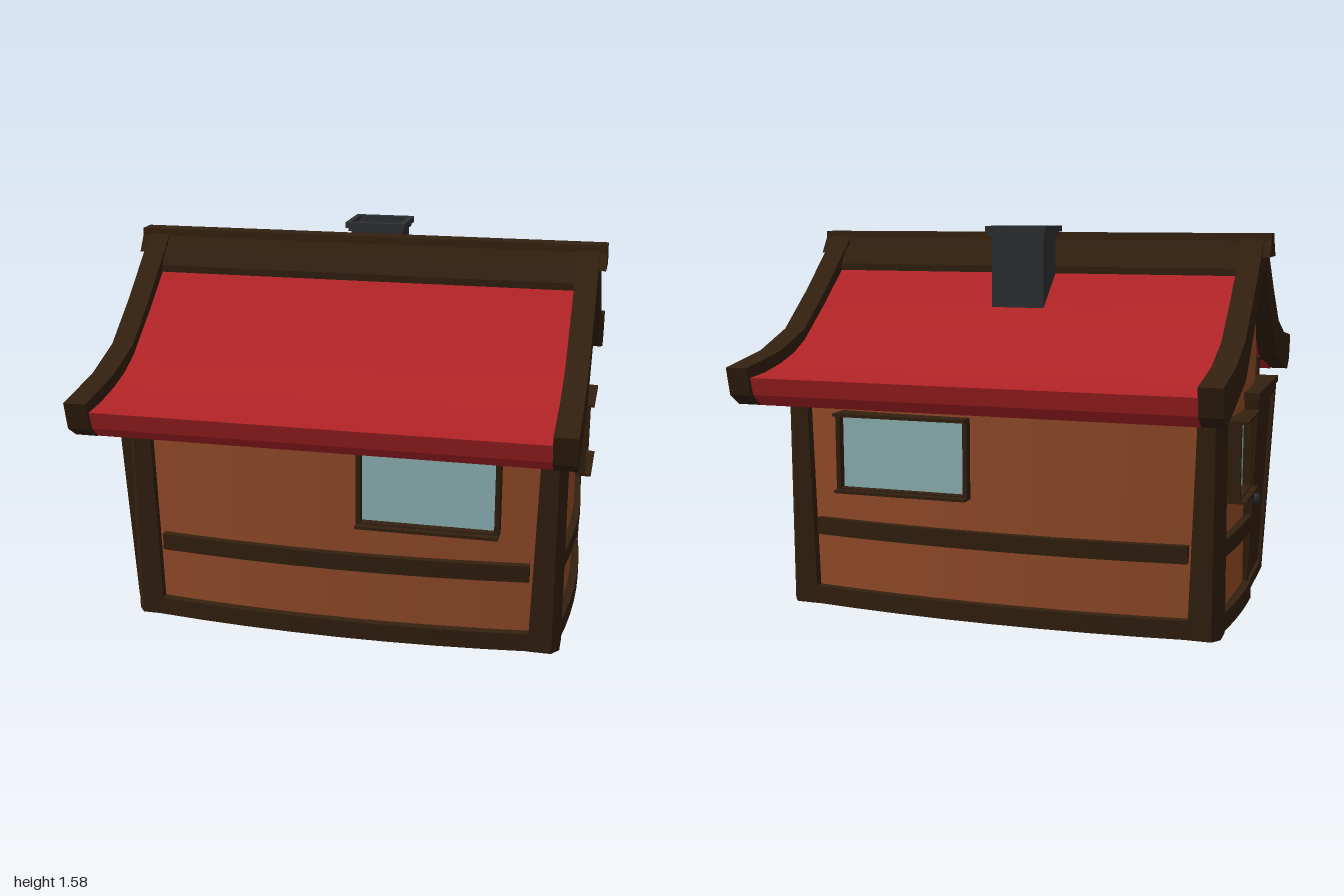
import * as THREE from 'three';
import { toCreasedNormals } from 'three/addons/utils/BufferGeometryUtils.js';

const mat = (color) => new THREE.MeshStandardMaterial({ color, side: THREE.DoubleSide });
const WOOD = mat(0x33200f), WALL = mat(0x984e2a), RED = mat(0xb32427);
const GLASS = mat(0x92babc), STONE = mat(0x303134);

const shapeOf = (pts) => new THREE.Shape(pts.map((p) => new THREE.Vector2(p[0], p[1])));
const rect = (x0, y0, x1, y1) => [[x0, y0], [x1, y0], [x1, y1], [x0, y1]];
const extrude = (shape, depth) => new THREE.ExtrudeGeometry(shape, { depth, bevelEnabled: false });

// Extrudes a (z, y) outline along x, from x0 to x1
const alongX = (pts, x0, x1) => extrude(shapeOf(pts), x1 - x0).rotateY(-Math.PI / 2).translate(x1, 0, 0);
// Extrudes an (x, z) plan upward from y0 to y1, with an optional hole
function plan(pts, y0, y1, hole) {
  const flip = (a) => a.map(([x, z]) => [x, -z]);
  const s = shapeOf(flip(pts));
  if (hole) s.holes.push(shapeOf(flip(hole)));
  return extrude(s, y1 - y0).rotateX(-Math.PI / 2).translate(0, y0, 0);
}
// Completes a half outline by mirroring it over z = 0
const mirror = (half) => [...half, ...half.slice().reverse().filter((p) => p[0] > 0).map(([z, y]) => [-z, y])];

// Gently bulging walls
const HX = 0.86, HZ = 0.58;
const bulge = {
  front: (t, o = 0) => [t, HZ + 0.055 * (1 - (t / HX) ** 2) + o],
  back: (t, o = 0) => [t, -HZ - 0.055 * (1 - (t / HX) ** 2) - o],
  leftSide: (t, o = 0) => [HX + 0.05 * (1 - (t / HZ) ** 2) + o, t],
  rightSide: (t, o = 0) => [-HX - 0.05 * (1 - (t / HZ) ** 2) - o, t],
};
// Height of the wall top, just inside the roof
const wallTop = (z) => {
  const a = Math.abs(z);
  return a < 0.46 ? 1.43 - 0.89 * a : 1.02 - 0.25 * (a - 0.46);
};
const steps = (a, b, n) => Array.from({ length: n + 1 }, (_, i) => a + ((b - a) * i) / n);

function wallGeometry(side) {
  const h = side === 'front' || side === 'back' ? HX : HZ;
  const pos = [], idx = [];
  steps(-h, h, 20).forEach((t, i) => {
    const [x, z] = bulge[side](t);
    pos.push(x, 0.01, z, x, wallTop(z), z);
    const k = i * 2;
    if (i < 20) {
      if (side === 'front' || side === 'rightSide') idx.push(k, k + 2, k + 1, k + 1, k + 2, k + 3);
      else idx.push(k, k + 1, k + 2, k + 1, k + 3, k + 2);
    }
  });
  const g = new THREE.BufferGeometry();
  g.setAttribute('position', new THREE.Float32BufferAttribute(pos, 3));
  g.setIndex(idx);
  g.computeVertexNormals();
  return g;
}

// Plank that follows a wall's bulge
function plank(side, a, b, y0, y1, out) {
  const ts = steps(a, b, 8);
  const pts = [...ts.map((t) => bulge[side](t, out)), ...ts.reverse().map((t) => bulge[side](t, -0.04))];
  return toCreasedNormals(plan(pts, y0, y1), 0.5);
}

function createWindow(w, h) {
  const g = new THREE.Group();
  g.name = 'window';
  const box = (name, m, sx, sy, sz, x, y, z) => {
    const b = new THREE.Mesh(new THREE.BoxGeometry(sx, sy, sz), m);
    b.name = name;
    b.position.set(x, y, z);
    g.add(b);
  };
  box('pane', GLASS, w - 0.02, h - 0.02, 0.02, 0, 0, 0);
  for (const s of [-1, 1]) {
    box('windowJamb', WOOD, 0.018, h, 0.1, s * (w / 2 - 0.009), 0, -0.005);
    box('windowRail', WOOD, w, 0.018, 0.1, 0, s * (h / 2 - 0.009), -0.005);
    box('windowLip', WOOD, w, 0.012, 0.03, 0, s * (h / 2 - 0.006), 0.057);
  }
  return g;
}

export function createModel() {
  const house = new THREE.Group();
  house.name = 'cottage';
  const add = (name, geo, material) => {
    const m = new THREE.Mesh(geo, material);
    m.name = name;
    house.add(m);
    return m;
  };

  // Walls and floor
  for (const side of Object.keys(bulge)) add(side + 'Wall', wallGeometry(side), WALL);
  const f = steps(-HX, HX, 12), s = steps(-HZ, HZ, 12);
  add('floor', plan([
    ...f.map((t) => bulge.back(t)), ...s.map((t) => bulge.leftSide(t)),
    ...f.slice().reverse().map((t) => bulge.front(t)), ...s.slice().reverse().map((t) => bulge.rightSide(t)),
  ], 0, 0.02), WALL);

  // Base boards and belt rails
  const runs = [['front', -0.78, 0.82], ['back', -0.82, 0.82], ['leftSide', -0.52, 0.52], ['rightSide', -0.52, 0]];
  for (const [side, a, b] of runs) {
    add(side + 'Base', plank(side, a, b, 0, 0.075, 0.035), WOOD);
    add(side + 'Rail', plank(side, a + 0.035, b - 0.035, 0.3, 0.37, 0.03), WOOD);
  }

  // Corner posts, chamfered outside and narrowing toward the top
  for (const sx of [-1, 1]) for (const sz of [-1, 1]) {
    const pts = [[0.79, 0.49], [0.915, 0.49], [0.915, 0.585], [0.885, 0.625], [0.79, 0.625]];
    const geo = plan(pts.map(([x, z]) => [x * sx, z * sz]), 0, 1.0);
    const p = geo.attributes.position;
    for (let i = 0; i < p.count; i++) {
      if (p.getY(i) < 0.5) continue;
      if (Math.abs(p.getX(i)) < 0.8) p.setX(i, sx * 0.82);
      if (Math.abs(p.getZ(i)) < 0.5) p.setZ(i, sz * 0.53);
    }
    geo.computeVertexNormals();
    const post = add('cornerPost', geo, WOOD);
    if (sx < 0 && sz > 0) post.position.x = 0.035;
  }

  // Sweeping red roof
  const roof = mirror([[0, 1.49], [0.14, 1.385], [0.31, 1.25], [0.51, 1.105], [0.61, 1.06], [0.72, 1.03], [0.85, 1.008],
    [0.965, 1.0], [0.945, 0.93], [0.89, 0.883], [0.62, 0.955], [0.46, 1.0], [0, 1.41]].slice(0, 12));
  // Underside peak closes the outline between the two halves
  roof.splice(12, 0, [0, 1.41]);
  add('roof', toCreasedNormals(alongX(roof, -0.89, 0.89), 0.5), RED);

  // Curved rake boards at both gables
  const rake = mirror([[0.04, 1.53], [0.31, 1.3], [0.51, 1.15], [0.72, 1.08], [0.99, 1.04], [0.965, 0.93],
    [0.9, 0.885], [0.62, 0.955], [0.46, 1.0]]);
  rake.splice(9, 0, [0, 1.41]);
  for (const x of [-0.97, 0.88]) add('rakeBoard', alongX(rake, x, x + 0.09), WOOD);

  // Ridge beam and the strip below it
  add('ridgeBeam', alongX([[0.04, 1.55], [0.045, 1.52], [0.09, 1.455], [-0.09, 1.455], [-0.045, 1.52], [-0.04, 1.55]], -1, 1), WOOD);
  add('ridgeStrip', alongX([[0.09, 1.48], [0.145, 1.41], [0.145, 1.37], [0, 1.45], [-0.145, 1.37], [-0.145, 1.41], [-0.09, 1.48]], -0.88, 0.88), WOOD);

  // Hollow chimney with a stepped cap
  const hole = rect(-0.1, -0.305, 0.1, -0.16);
  add('chimneyStack', plan(rect(-0.112, -0.315, 0.112, -0.148), 1.15, 1.56, hole), STONE);
  add('chimneyCapLower', plan(rect(-0.12, -0.335, 0.12, -0.125), 1.54, 1.555, hole), STONE);
  add('chimneyCap', plan(rect(-0.13, -0.345, 0.13, -0.112), 1.555, 1.58, rect(-0.108, -0.318, 0.108, -0.145)), STONE);
  add('chimneyInside', plan(hole, 1.38, 1.39), WALL);

  // Windows on all four walls
  const windows = [[0.57, 0.38, 0.628, 0], [0.57, 0.38, -0.628, Math.PI],
    [0.31, 0.905, -0.25, Math.PI / 2], [0.31, -0.905, -0.25, -Math.PI / 2]];
  for (const [w, x, z, turn] of windows) {
    const win = createWindow(w, 0.33);
    win.position.set(x, 0.665, z);
    win.rotation.y = turn;
    house.add(win);
  }

  // Door that leans outward and widens toward the top
  const lean = (geo) => {
    const p = geo.attributes.position;
    for (let i = 0; i < p.count; i++) p.setX(i, p.getX(i) - 0.045 * (p.getY(i) / 0.9));
    geo.computeVertexNormals();
    return geo;
  };
  const opening = [[0.045, 0.05], [0.44, 0.05], [0.45, 0.83], [-0.02, 0.83]];
  const frame = shapeOf([[0, 0], [0.485, 0], [0.5, 0.88], [-0.075, 0.88]]);
  frame.holes.push(shapeOf(opening));
  add('doorFrame', lean(extrude(frame, 0.11).rotateY(-Math.PI / 2).translate(-0.815, 0, 0)), WOOD);
  add('doorPanel', lean(alongX(opening, -0.91, -0.82)), WOOD);
  add('doorLintel', lean(alongX(rect(-0.09, 0.87, 0.51, 0.9), -0.93, -0.82)), WOOD);
  const knob = add('doorKnob', new THREE.SphereGeometry(0.022, 12, 8), STONE);
  knob.position.set(-0.945, 0.42, 0.08);

  return house;
}
